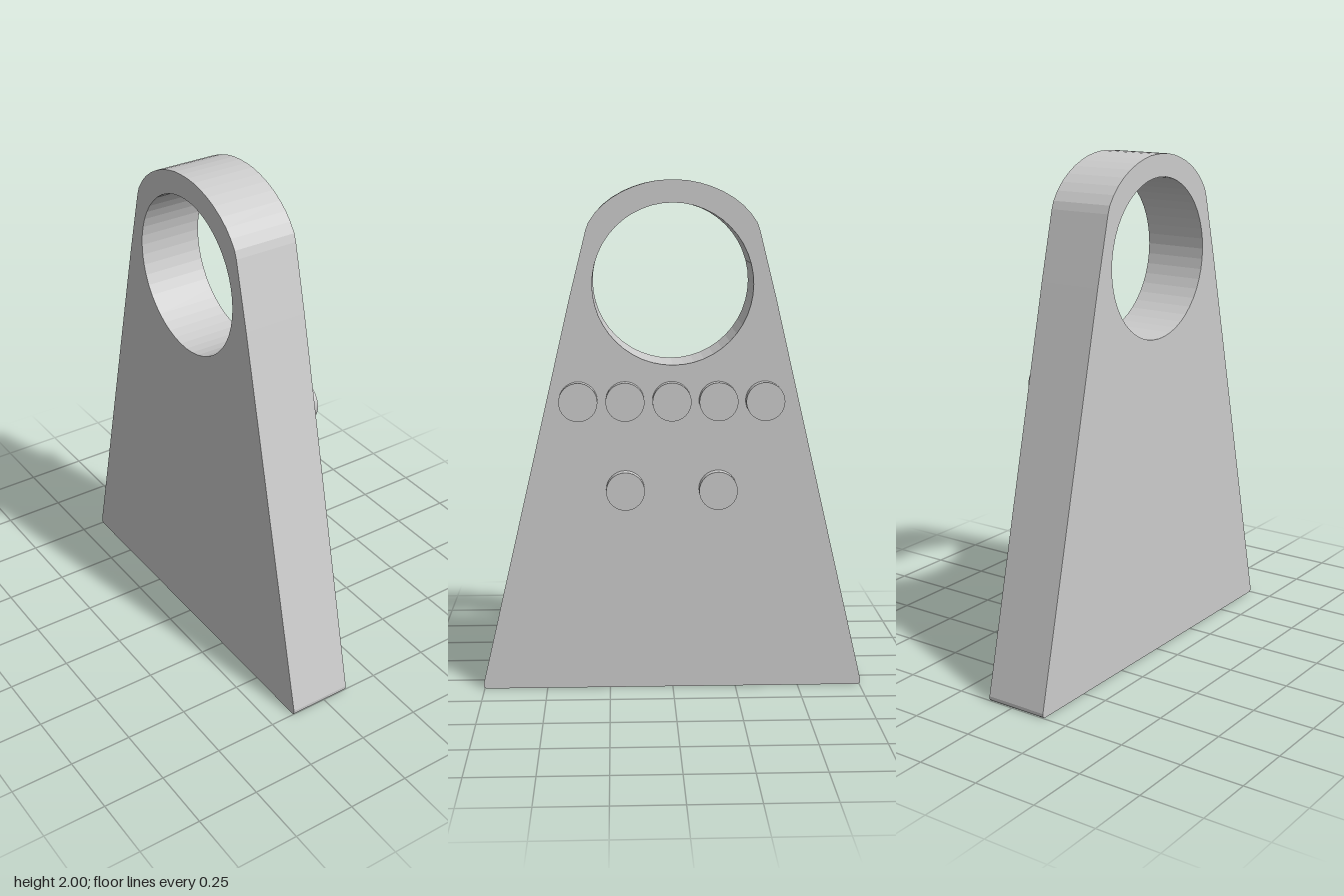
import * as THREE from 'three';

export function createModel() {
  const group = new THREE.Group();
  const material = new THREE.MeshStandardMaterial({ color: 0xcccccc });
  const backX = -0.15, thickness = 0.255, studHeight = 0.045;

  // Half outline of the tapered plate, bottom to top: [half width, height]
  const half = [
    [0.745, 0], [0.753, 0.006], [0.754, 0.02], [0.398, 1.55], [0.333, 1.81],
    [0.322, 1.84], [0.297, 1.875], [0.268, 1.905], [0.233, 1.932], [0.19, 1.957],
    [0.147, 1.975], [0.105, 1.988], [0.06, 1.997], [0.02, 2],
  ];
  const outline = [
    ...half.map(([w, y]) => new THREE.Vector2(w, y)),
    ...half.slice().reverse().map(([w, y]) => new THREE.Vector2(-w, y)),
  ];
  const shape = new THREE.Shape(outline);

  // Round grip opening
  const hole = new THREE.Path();
  hole.absarc(0, 1.604, 0.31, 0, Math.PI * 2, true);
  shape.holes.push(hole);

  // Plate, extruded sideways along x
  const plateGeometry = new THREE.ExtrudeGeometry(shape, {
    depth: thickness, bevelEnabled: false, curveSegments: 24,
  });
  plateGeometry.rotateY(Math.PI / 2);
  const plate = new THREE.Mesh(plateGeometry, material);
  plate.name = 'plate';
  plate.position.x = backX;
  group.add(plate);

  // Round studs on the +x face: a row of five and a pair below
  const studGeometry = new THREE.CylinderGeometry(0.075, 0.075, studHeight, 32);
  studGeometry.rotateZ(-Math.PI / 2);
  const rows = [
    { name: 'upperStud', y: 1.156, columns: [-2, -1, 0, 1, 2] },
    { name: 'lowerStud', y: 0.806, columns: [-1, 1] },
  ];
  for (const { name, y, columns } of rows) {
    for (const column of columns) {
      const stud = new THREE.Mesh(studGeometry, material);
      stud.name = name;
      stud.position.set(backX + thickness + studHeight / 2, y, 0.005 + column * 0.181);
      group.add(stud);
    }
  }
  return group;
}
